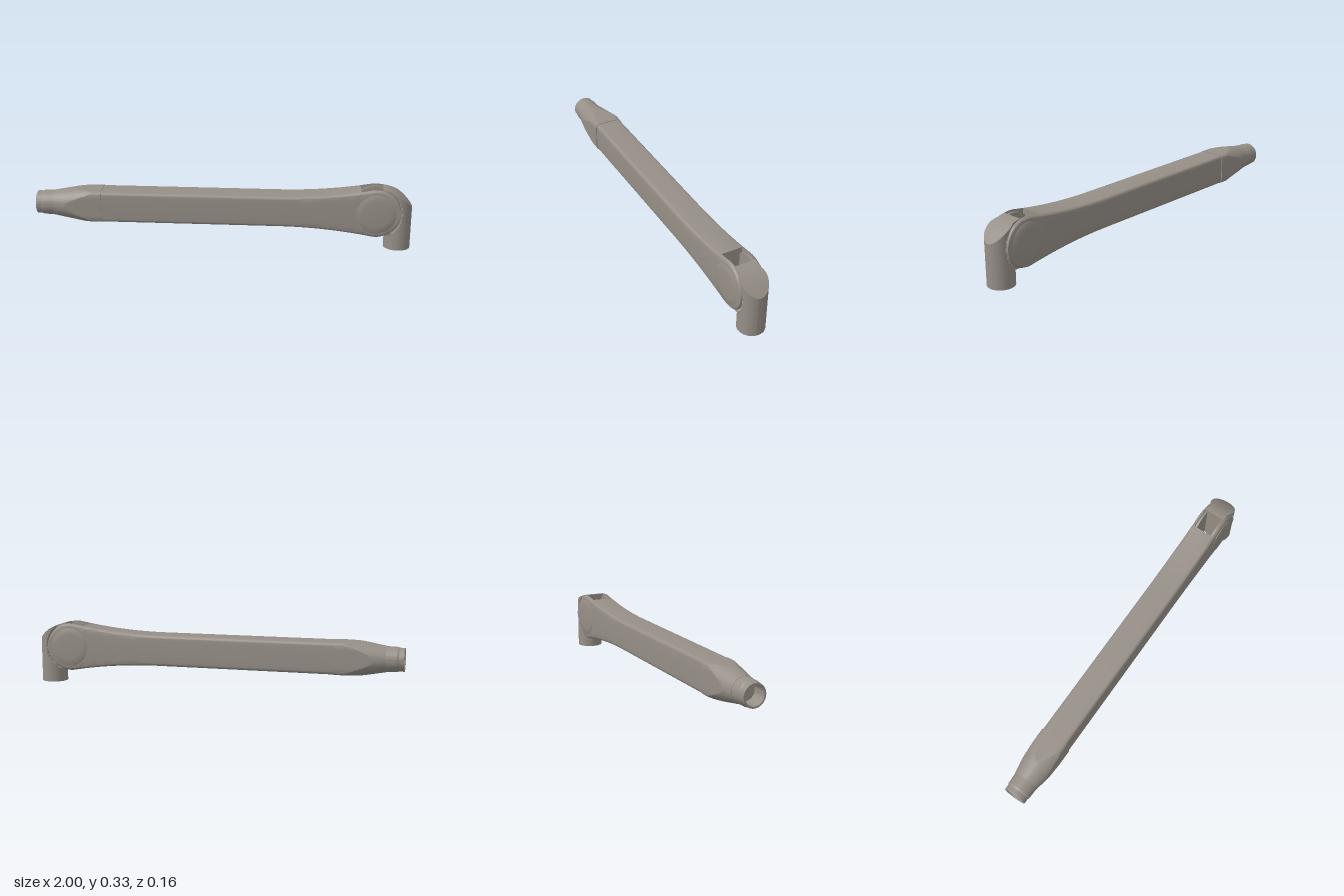
import * as THREE from 'three';
import { toCreasedNormals } from 'three/addons/utils/BufferGeometryUtils.js';

const MID = 0.2;                       // height of the arm axis and the pivot
const PIVOT = 0.81, PIVOT_R = 0.13;    // pivot position along x, cheek radius
const SLOT = 0.73, CHEEK_IN = 0.057;   // fork slot start and half width

// Skin a list of { x, ring } sections, ring = [z, y] points going top -> +z -> bottom
function loft(sections, crease = 0.5) {
  const pos = [], idx = [], n = sections[0].ring.length;
  for (const { x, ring } of sections) for (const [z, y] of ring) pos.push(x, y, z);
  for (let i = 0; i < sections.length - 1; i++)
    for (let j = 0; j < n; j++) {
      const a = i * n + j, b = i * n + (j + 1) % n;
      idx.push(a, b, a + n, b, b + n, a + n);
    }
  for (const end of [0, sections.length - 1]) {
    const { x, ring } = sections[end], c = pos.length / 3;
    const mean = k => ring.reduce((s, p) => s + p[k], 0) / n;
    pos.push(x, mean(1), mean(0));
    for (let j = 0; j < n; j++) {
      const a = end * n + j, b = end * n + (j + 1) % n;
      if (end) idx.push(c, a, b); else idx.push(c, b, a);
    }
  }
  const g = new THREE.BufferGeometry();
  g.setAttribute('position', new THREE.Float32BufferAttribute(pos, 3));
  g.setIndex(idx);
  return toCreasedNormals(g, crease);
}

const range = (a, b, n) => Array.from({ length: n + 1 }, (_, i) => a + (b - a) * i / n);

// Half height of the arm: straight, then flaring into the pivot circle
function halfHeight(x) {
  if (x < 0.3) return 0.083;
  if (x < 0.787) return 0.083 + 0.189 * (x - 0.3) ** 2;
  return Math.max(0.001, Math.sqrt(Math.max(0, PIVOT_R ** 2 - (x - PIVOT) ** 2)));
}

// Outer side of the arm section from top to bottom, softly rounded and bulged
function sidePath(h, inner) {
  const r = Math.min(0.016, h / 2), pts = [];
  const add = (z, y) => pts.push([Math.max(inner, z + 0.005 * (1 - (y / 0.13) ** 2)), MID + y]);
  pts.push([inner, MID + h]);
  for (const a of range(0, Math.PI / 2, 6)) add(0.0695 - r + r * Math.sin(a), h - r + r * Math.cos(a));
  for (const t of range(1, -1, 8).slice(1, -1)) add(0.0695, t * (h - r));
  for (const a of range(Math.PI / 2, 0, 6)) add(0.0695 - r + r * Math.sin(a), -h + r - r * Math.cos(a));
  pts.push([inner, MID - h]);
  return pts;
}

const mirrored = path => path.map(([z, y]) => [-z, y]).reverse();

// Sloping crown of the elbow post
const crown = x => {
  const d = x - 0.86;
  return 0.325 - 0.179 * d - 3.57 * d * d;
};

export function createModel() {
  const model = new THREE.Group();
  const metal = new THREE.MeshStandardMaterial({ color: 0x968f87 });
  metal.name = 'warm grey metal';
  const add = (name, geometry) => {
    const mesh = new THREE.Mesh(geometry, metal);
    mesh.name = name;
    model.add(mesh);
    return mesh;
  };

  // Solid arm up to the slot
  add('armBody', loft([...range(-0.65, 0.3, 2), ...range(0.3, SLOT, 20).slice(1)].map(x => {
    const path = sidePath(halfHeight(x), 0).slice(0, -1);
    const back = mirrored(sidePath(halfHeight(x), 0)).slice(0, -1);
    return { x, ring: [...path, ...back] };
  })));

  // Two fork cheeks, each with a domed round cover
  const cheekX = [...range(SLOT, 0.787, 6),
    ...range(1.74, 0, 26).slice(1).map(a => PIVOT + PIVOT_R * Math.cos(a))];
  for (const s of [1, -1]) {
    const side = s > 0 ? 'left' : 'right';
    add(side + 'ForkCheek', loft(cheekX.map(x => {
      const path = sidePath(halfHeight(x), CHEEK_IN);
      return { x, ring: s > 0 ? path : mirrored(path) };
    })));

    const dome = [[0.103, 0.06], [0.103, 0.0745], [0.101, 0.0755], [0.07, 0.0778], [0.035, 0.079], [0, 0.0795]];
    const cover = new THREE.LatheGeometry(dome.map(p => new THREE.Vector2(...p)), 64);
    cover.rotateX(s * Math.PI / 2);
    add(side + 'PivotCover', toCreasedNormals(cover, 0.5)).position.set(PIVOT, MID, 0);

    // Knuckle ear lying against the inside of the cheek
    const ear = new THREE.CylinderGeometry(0.118, 0.118, 0.0115, 64);
    ear.rotateX(Math.PI / 2);
    add(side + 'KnuckleEar', toCreasedNormals(ear, 0.5)).position.set(PIVOT, MID, s * 0.051);
  }

  // Knuckle block joining the ears to the post
  const web = new THREE.Shape();
  web.moveTo(0.845, 0.078);
  web.lineTo(0.925, 0.078);
  for (const x of range(0.925, 0.86, 6)) web.lineTo(x, crown(x));
  web.lineTo(0.845, 0.3265);
  web.closePath();
  const webGeo = new THREE.ExtrudeGeometry(web, { depth: 0.113, bevelEnabled: false });
  webGeo.translate(0, 0, -0.0565);
  add('knuckleBlock', toCreasedNormals(webGeo, 0.5));

  // Hollow post with a sloping crown, cut flat where the cheeks swing
  const profile = [[0, 0.3], [0.059, 0.3], [0.059, 0], [0.07, 0],
    ...range(0, 1, 48).slice(1).map(t => [0.07, t]),
    ...range(0.07, 0, 6).slice(1).map(r => [r, 1])];
  const post = new THREE.LatheGeometry(profile.map(p => new THREE.Vector2(...p)), 64);
  const p = post.attributes.position;
  for (let i = 0; i < p.count; i++) {
    const x = p.getX(i) + 0.93, y = p.getY(i) * crown(x), z = p.getZ(i);
    const inCheek = Math.hypot(x - PIVOT, y - MID) < PIVOT_R + 0.004;
    p.setXYZ(i, x, y, inCheek ? THREE.MathUtils.clamp(z, -0.0565, 0.0565) : z);
  }
  add('elbowPost', toCreasedNormals(post, 0.5));

  // Collar: a rounded box trimmed by a cone
  const angles = range(0, Math.PI * 2, 96).slice(0, -1);
  add('taperedCollar', loft(range(-0.905, -0.645, 40).map(x => ({
    x,
    ring: angles.map(a => {
      const c = Math.cos(a), s = Math.sin(a);
      const box = (Math.abs(c / 0.0865) ** 7 + Math.abs(s / 0.0795) ** 7) ** (-1 / 7);
      const r = Math.min(box, 0.068 + 0.185 * (x + 0.905));
      return [r * s, MID + r * c];
    }),
  })), 0.3));

  // Hollow round neck at the far end
  const neckProfile = [[0.067, 0.9], [0.065, 0.962], [0.061, 0.972], [0.061, 0.997],
    [0.059, 1], [0.051, 1], [0.051, 0.915], [0, 0.915]];
  const neck = new THREE.LatheGeometry(neckProfile.map(q => new THREE.Vector2(...q)), 64);
  neck.rotateZ(Math.PI / 2);
  add('socketNeck', toCreasedNormals(neck, 0.3)).position.y = MID;

  return model;
}
